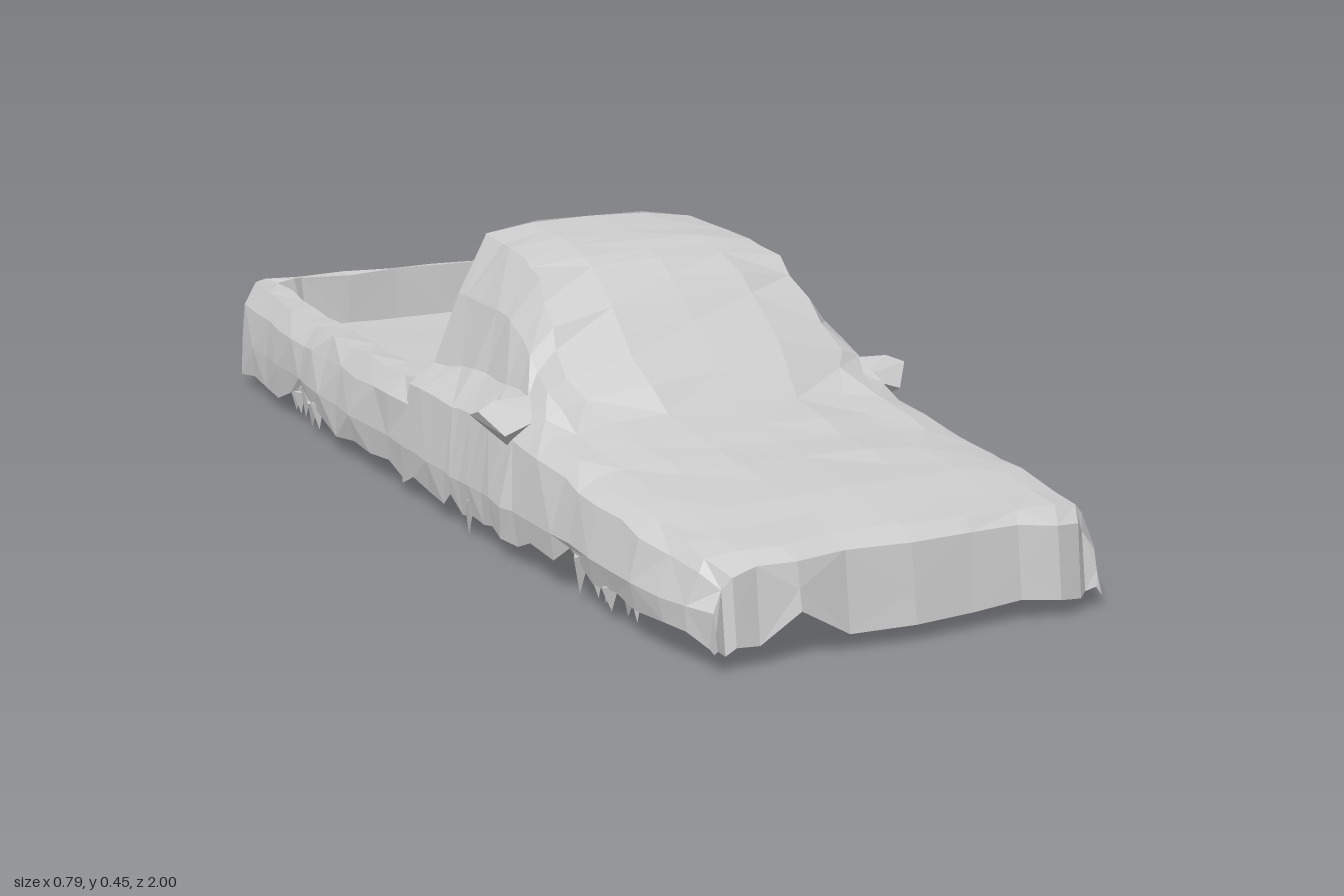
import * as THREE from 'three';
import { ConvexGeometry } from 'three/addons/geometries/ConvexGeometry.js';

const grey = new THREE.MeshStandardMaterial({ color: 0xcccccc, flatShading: true, side: THREE.DoubleSide });
grey.name = 'bodyGrey';

// Repeatable pseudo-random value in 0..1
const hash = (n) => { const s = Math.sin(n * 12.9898 + 4.1) * 43758.5453; return s - Math.floor(s); };
const wobble = (n, a = 0.004) => (hash(n) - 0.5) * 2 * a;
const lerp = THREE.MathUtils.lerp;

// Skin a grid of points, row by row
function loft(rows) {
  const pos = [];
  for (let i = 0; i < rows.length - 1; i++) {
    for (let j = 0; j < rows[i].length - 1; j++) {
      const a = rows[i][j], b = rows[i][j + 1], c = rows[i + 1][j], d = rows[i + 1][j + 1];
      if ((i + j) % 2) pos.push(...a, ...b, ...c, ...b, ...d, ...c);
      else pos.push(...a, ...b, ...d, ...a, ...d, ...c);
    }
  }
  const g = new THREE.BufferGeometry();
  g.setAttribute('position', new THREE.Float32BufferAttribute(pos, 3));
  g.computeVertexNormals();
  return g;
}

// Interpolate a table of rows by its first column (descending)
function sample(table, key) {
  let i = 0;
  while (i < table.length - 2 && key < table[i + 1][0]) i++;
  const t = (key - table[i][0]) / (table[i + 1][0] - table[i][0]);
  return table[i].map((v, k) => lerp(v, table[i + 1][k], t));
}

// Torn lower edge of the skirt, cut higher near the wheels
function hem(z, seed) {
  const arch = Math.min(Math.abs(z - 0.7), Math.abs(z + 0.55)) < 0.1 ? 0.02 : 0;
  return 0.018 + arch + 0.04 * hash(seed);
}

// z, skirt x, shoulder y, belt x, belt y, roof edge x, roof edge y, centre y
const sections = [
  [0.975, 0.325, 0.115, 0.29, 0.135, 0.19, 0.142, 0.143],
  [0.94, 0.345, 0.135, 0.31, 0.152, 0.2, 0.16, 0.163],
  [0.8, 0.36, 0.15, 0.31, 0.168, 0.2, 0.18, 0.184],
  [0.6, 0.36, 0.165, 0.31, 0.182, 0.2, 0.197, 0.203],
  [0.45, 0.36, 0.178, 0.31, 0.205, 0.21, 0.218, 0.228],
  [0.36, 0.362, 0.188, 0.3, 0.238, 0.245, 0.275, 0.305],
  [0.28, 0.362, 0.19, 0.295, 0.248, 0.235, 0.345, 0.37],
  [0.2, 0.362, 0.192, 0.293, 0.248, 0.22, 0.405, 0.422],
  [0.12, 0.362, 0.192, 0.293, 0.245, 0.208, 0.425, 0.438],
  [-0.055, 0.362, 0.19, 0.3, 0.225, 0.195, 0.435, 0.45],
];

// Rear edge of the cab: y, half width, z
const cabBack = [
  [0.45, 0.1, -0.06], [0.435, 0.195, -0.06], [0.4, 0.215, -0.042], [0.32, 0.252, -0.036],
  [0.225, 0.3, -0.045], [0.19, 0.3, -0.085], [0.1, 0.275, -0.1],
];

function bodyRow(z, seed, last) {
  const [, sx, sy, bx, by, rx, ry, cy] = sample(sections, z);
  const half = [
    [sx - 0.005, hem(z, seed)], [sx, 0.085], [sx - 0.02, sy], [bx, by],
    [lerp(bx, rx, 0.5) + 0.01, lerp(by, ry, 0.55)], [rx, ry], [rx * 0.55, lerp(ry, cy, 0.8)],
  ];
  const put = (side) => ([x, y], k) => [
    side * x + (last ? 0 : wobble(seed * 7 + k * 3 + side)),
    y + (last || k === 0 ? 0 : wobble(seed * 5 + k + side * 2, 0.003)),
    last && y > 0.2 ? sample(cabBack, y)[2] : z + (last ? 0 : wobble(seed + k * 9 + side, 0.012)),
  ];
  return [...half.map(put(-1)), [0, cy, last ? -0.06 : z], ...half.map(put(1)).reverse()];
}

// Bonnet, windscreen, roof and sides as one skin
function bodyGeometry() {
  const zs = [0.975, 0.94, 0.88, 0.8, 0.74, 0.67, 0.6, 0.53, 0.45, 0.4, 0.36, 0.32, 0.28, 0.24, 0.2, 0.16, 0.12, 0.06, 0, -0.055];
  return loft(zs.map((z, i) => bodyRow(z, i + 1, i === zs.length - 1)));
}

// Nose panel hanging from the leading edge of the bonnet
function noseGeometry() {
  const top = bodyRow(0.975, 1, false);
  const rows = [0, 0.45, 1].map((t) => top.map(([x, y, z], j) => {
    const bottom = Math.min(y, j === 5 ? 0.075 : 0.02 + 0.02 * hash(j * 3));
    return [x, lerp(bottom, y, t), z + (1 - t) * 0.02 * (1 - Math.abs(x))];
  }));
  return loft(rows);
}

// Cargo bed side: path from the left front corner round the tail to the right
function bedRow(level, [inset, backInset, y, isHem]) {
  const side = [-0.04, -0.12, -0.2, -0.28, -0.36, -0.44, -0.5, -0.56, -0.62, -0.7, -0.78, -0.86];
  const width = (z) => 0.362 - inset - Math.max(0, -z - 0.5) * 0.06;
  const back = -0.995 + backInset;
  const half = side.map((z) => [width(z), z]);
  half.push([width(-0.93), Math.max(-0.945, back + 0.01)], [width(-1) - 0.03, back + 0.008]);
  const tail = [0.2, 0.1].map((x) => [x, back]);
  const right = [...half, ...tail];
  const path = [...right, [0, back], ...right.map(([x, z]) => [-x, z]).reverse()];
  return path.map(([x, z], j) => {
    const seed = level * 41 + j;
    return [x + wobble(seed, 0.005), isHem ? hem(z, seed) : y + wobble(seed * 3, 0.004) + (y > 0.18 && z < -0.8 ? 0.006 : 0), z + wobble(seed * 2, 0.004)];
  });
}

const bedLevels = [
  [0.005, 0.01, 0.03, true], [0, 0, 0.09], [0.012, 0.005, 0.155],
  [0.035, 0.012, 0.192], [0.085, 0.04, 0.192], [0.1, 0.052, 0.1],
];

function cabWallGeometry() {
  return loft(cabBack.map(([y, w, z]) => [-1, -0.6, -0.2, 0.2, 0.6, 1].map((t) => [w * t, y, z])));
}

function bedFloorGeometry() {
  const rows = [];
  for (let i = 0; i <= 7; i++) {
    const z = lerp(-0.09, -0.948, i / 7);
    const w = lerp(0.275, 0.235, i / 7);
    rows.push([-1, -0.5, 0, 0.5, 1].map((t, j) => [w * t, 0.1 + wobble(i * 5 + j, 0.003), z]));
  }
  return loft(rows);
}

// Wedge-shaped door mirror
function mirrorGeometry(side) {
  const pts = [
    [0.285, 0.25, 0.33], [0.285, 0.225, 0.37], [0.31, 0.185, 0.33], [0.34, 0.175, 0.34],
    [0.36, 0.247, 0.33], [0.393, 0.225, 0.315], [0.39, 0.235, 0.34], [0.36, 0.2, 0.375],
  ];
  return new ConvexGeometry(pts.map(([x, y, z]) => new THREE.Vector3(side * x, y, z)));
}

export function createModel() {
  const model = new THREE.Group();
  model.name = 'pickupTruck';
  const add = (name, geometry, parent = model) => {
    const mesh = new THREE.Mesh(geometry, grey);
    mesh.name = name;
    parent.add(mesh);
    return mesh;
  };

  add('cabAndBonnet', bodyGeometry());
  add('nosePanel', noseGeometry());
  add('cabRearWall', cabWallGeometry());
  add('bedSides', loft(bedLevels.map((l, i) => bedRow(i, l))));
  add('bedFloor', bedFloorGeometry());

  for (const side of [1, -1]) {
    add(side > 0 ? 'leftMirror' : 'rightMirror', mirrorGeometry(side));

    // Ragged remains of the wheels under each arch
    for (const z of [0.7, -0.55]) {
      const wheel = new THREE.Group();
      wheel.name = (side > 0 ? 'left' : 'right') + (z > 0 ? 'Front' : 'Rear') + 'Wheel';
      for (let k = 0; k < 6; k++) {
        const h = 0.035 + 0.03 * hash(k + z);
        const spike = add('wheelShard', new THREE.ConeGeometry(0.016, h, 3), wheel);
        spike.rotation.set(Math.PI, k, 0);
        spike.position.set(side * (0.33 + 0.025 * hash(k * 4 + z)), 0.015 + h / 2, z + (k - 2.5) * 0.032);
      }
      model.add(wheel);
    }
  }

  // Lowest shreds of the sills rest on the ground
  for (const side of [1, -1]) {
    const sill = add('sillShred', new THREE.ConeGeometry(0.02, 0.06, 3), model);
    sill.rotation.x = Math.PI;
    sill.scale.x = 0.4;
    sill.position.set(side * 0.355, 0.03, 0.22);
  }
  return model;
}
